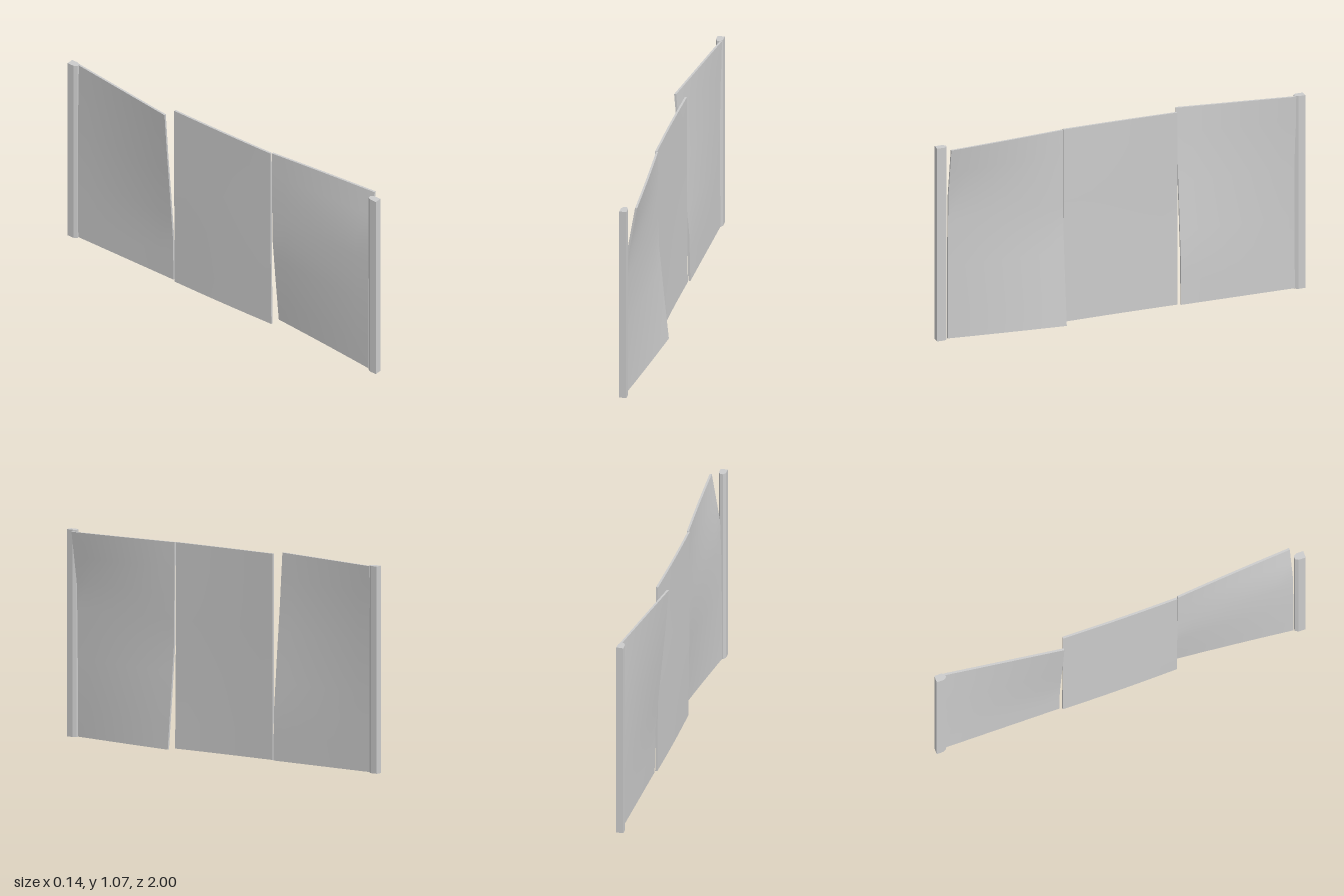
import * as THREE from 'three';

const HEIGHT = 1.07;
const THICK = 0.011;

// Piecewise-linear lookup in evenly spaced samples
function sample(values, t) {
  const f = Math.min(Math.max(t, 0), 1) * (values.length - 1);
  const i = Math.min(Math.floor(f), values.length - 2);
  return THREE.MathUtils.lerp(values[i], values[i + 1], f - i);
}

// Thin warped sheet; each edge lists its x offsets from bottom to top
function makePanel(name, zFront, zBack, frontEdge, backEdge, bulge, material) {
  const geo = new THREE.BoxGeometry(THICK, 1, 1, 1, 8, 8);
  const pos = geo.attributes.position;
  for (let i = 0; i < pos.count; i++) {
    const v = pos.getY(i) + 0.5;
    const u = 0.5 - pos.getZ(i);
    const warp = THREE.MathUtils.lerp(sample(frontEdge, v), sample(backEdge, v), u);
    pos.setXYZ(
      i,
      pos.getX(i) + warp + bulge * Math.sin(Math.PI * u),
      0.003 + v * (HEIGHT - 0.006),
      THREE.MathUtils.lerp(zFront, zBack, u)
    );
  }
  geo.computeVertexNormals();
  const mesh = new THREE.Mesh(geo, material);
  mesh.name = name;
  return mesh;
}

// Upright post with chamfered inner corners; side is +1 (front) or -1 (back)
function makePost(name, side, material) {
  const outline = [
    [-0.015, 1], [0.022, 1], [0.022, 0.962],
    [0.012, 0.945], [-0.005, 0.945], [-0.015, 0.962],
  ];
  const shape = new THREE.Shape(outline.map(([x, z]) => new THREE.Vector2(x, -side * z)));
  const geo = new THREE.ExtrudeGeometry(shape, { depth: HEIGHT, bevelEnabled: false });
  geo.rotateX(-Math.PI / 2);
  const mesh = new THREE.Mesh(geo, material);
  mesh.name = name;
  return mesh;
}

export function createModel() {
  const group = new THREE.Group();
  group.name = 'fence';
  const material = new THREE.MeshStandardMaterial({ color: 0xcccccc });

  group.add(
    // End posts
    makePost('frontPost', 1, material),
    makePost('backPost', -1, material),
    // Three buckled sheets between the posts
    makePanel('frontPanel', 0.938, 0.313,
      [0.005, 0.005, 0.006, 0.014, 0.058],
      [0.063, 0.036, 0.011, 0.008, 0.006], 0.002, material),
    makePanel('middlePanel', 0.308, -0.313,
      [0.008, 0.004, 0.002, 0.002, 0.0],
      [0.0, -0.002, -0.004, -0.004, -0.004], -0.003, material),
    makePanel('backPanel', -0.328, -0.952,
      [0.01, 0.004, -0.019, -0.044, -0.065],
      [0.008, 0.006, 0.006, 0.008, 0.014], 0, material)
  );
  return group;
}
